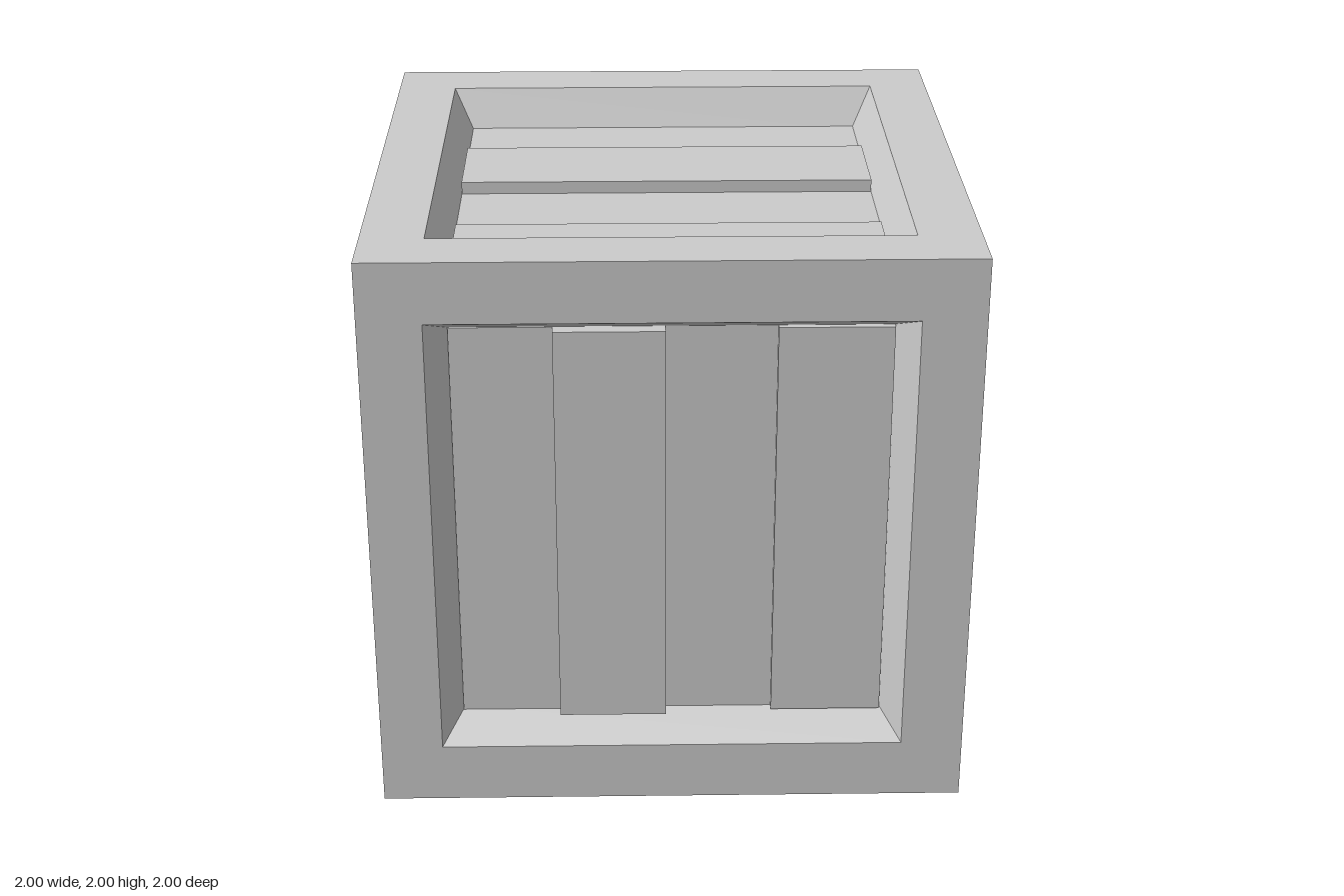
import * as THREE from 'three';

const HOLE = 0.79;   // half width of the opening at the surface
const INNER = 0.722; // half width of the planking
const BACK = 0.2;    // depth of the planks' hidden rear

// rot turns a +z-facing side outward; cuts divide its planks; depths set each plank back
const SIDES = [
  { name: 'front', rot: [0, 0, 0], cuts: [-0.385, -0.02, 0.345], depths: [0.132, 0.09, 0.14, 0.115] },
  { name: 'right', rot: [0, Math.PI / 2, 0], cuts: [-0.355, -0.005, 0.355], depths: [0.119, 0.136, 0.084, 0.086] },
  { name: 'back', rot: [0, Math.PI, 0], cuts: [-0.345, 0.02, 0.385], depths: [0.09, 0.128, 0.126, 0.135] },
  { name: 'left', rot: [0, -Math.PI / 2, 0], cuts: [-0.36, 0, 0.35], depths: [0.112, 0.13, 0.116, 0.132] },
  { name: 'top', rot: [-Math.PI / 2, 0, Math.PI / 2], cuts: [-0.35, 0, 0.37], depths: [0.12, 0.138, 0.095, 0.137] },
  { name: 'bottom', rot: [Math.PI / 2, 0, Math.PI / 2], cuts: [-0.37, 0, 0.35], depths: [0.117, 0.132, 0.138, 0.107] },
];

// Square frame face with a bevelled opening: a four-sided lathe turned to face +z
function frameGeometry() {
  const profile = [[1, 1], [HOLE, 1], [0.716, 0.85]]
    .map(([half, y]) => new THREE.Vector2(half * Math.SQRT2, y));
  const geometry = new THREE.LatheGeometry(profile, 4, Math.PI / 4).rotateX(Math.PI / 2).toNonIndexed();
  geometry.computeVertexNormals();
  return geometry;
}

export function createModel() {
  const crate = new THREE.Group();
  crate.name = 'crate';
  const material = new THREE.MeshStandardMaterial({ color: 0xcccccc, flatShading: true });
  const frame = frameGeometry();

  for (const { name, rot, cuts, depths } of SIDES) {
    const side = new THREE.Group();
    side.name = name + 'Side';
    side.rotation.set(...rot);
    side.position.y = 1;

    const border = new THREE.Mesh(frame, material);
    border.name = name + 'Frame';
    side.add(border);

    // Planks side by side, each set back by its own depth
    const edges = [-INNER, ...cuts, INNER];
    depths.forEach((depth, i) => {
      const width = edges[i + 1] - edges[i];
      const plank = new THREE.Mesh(new THREE.BoxGeometry(width, INNER * 2, BACK - depth), material);
      plank.name = name + 'Plank' + (i + 1);
      plank.position.set((edges[i] + edges[i + 1]) / 2, 0, 1 - (depth + BACK) / 2);
      side.add(plank);
    });
    crate.add(side);
  }
  return crate;
}
